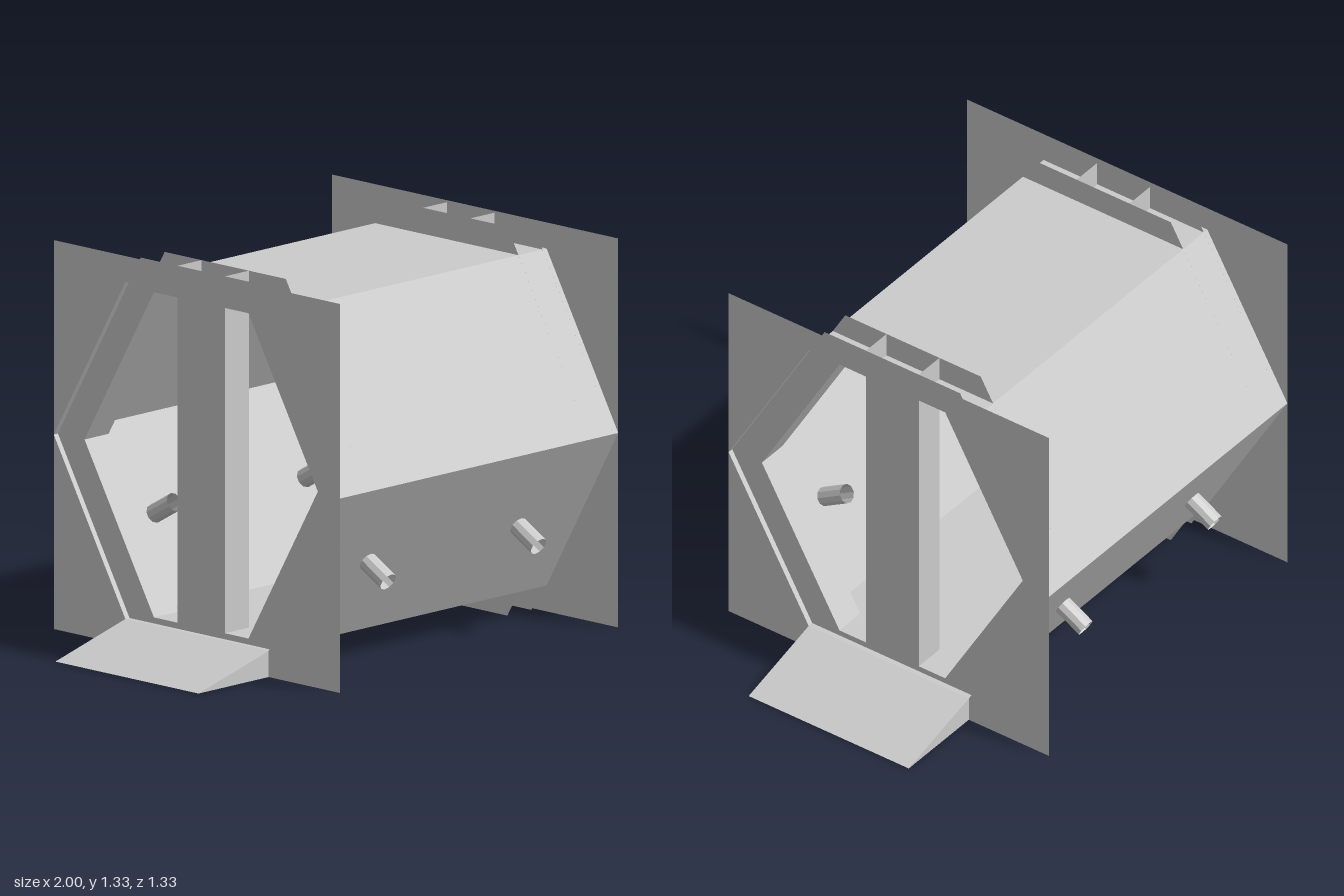
import * as THREE from 'three';

const R = 0.6667, H = R * Math.sin(Math.PI / 3); // hexagon radius and apothem
const END = 0.665;                               // half length of the shell

const material = new THREE.MeshStandardMaterial({
  color: 0xcccccc, flatShading: true, side: THREE.DoubleSide,
});

function add(parent, name, geometry) {
  const mesh = new THREE.Mesh(geometry, material);
  mesh.name = name;
  parent.add(mesh);
  return mesh;
}

// Flat sheet across the x axis; outline and holes are given as [z, y]
function sheet(outline, holes, x) {
  const points = (list) => list.map(([z, y]) => new THREE.Vector2(z, y));
  const shape = new THREE.Shape(points(outline));
  holes.forEach((hole) => shape.holes.push(new THREE.Path(points(hole))));
  return new THREE.ShapeGeometry(shape).rotateY(-Math.PI / 2).translate(x, 0, 0);
}

// Walls following a [z, y] path between two x positions
function band(path, x0, x1) {
  const positions = [];
  for (let i = 0; i + 1 < path.length; i++) {
    const [az, ay] = path[i], [bz, by] = path[i + 1];
    positions.push(x0, ay, az, x1, ay, az, x1, by, bz);
    positions.push(x0, ay, az, x1, by, bz, x0, by, bz);
  }
  const geometry = new THREE.BufferGeometry();
  geometry.setAttribute('position', new THREE.Float32BufferAttribute(positions, 3));
  geometry.computeVertexNormals();
  return geometry;
}

const hexagon = [
  [R, R], [R / 2, R + H], [-R / 2, R + H], [-R, R], [-R / 2, R - H], [R / 2, R - H],
];
const square = [[-R, 0], [R, 0], [R, 2 * R], [-R, 2 * R]];

// Inner frame: the hexagon stretched to full height, with two windows beside a post
const TOP = 0.282, POST = 0.11, IN = 0.53, OUT = 0.645;
const frameOutline = [
  [R, R], [TOP, 2 * R], [-TOP, 2 * R], [-R, R], [-TOP, 0], [TOP, 0],
];
const windowShape = (s) => [
  [s * POST, 1.225], [s * 0.22, 1.225], [s * 0.543, R], [s * 0.22, 0.11], [s * POST, 0.11],
];

// One end of the model, built on the +x side
function createEnd() {
  const end = new THREE.Group();
  add(end, 'endPlate', sheet(square, [hexagon], END));

  const frame = new THREE.Group();
  frame.name = 'innerFrame';
  end.add(frame);
  const windows = [windowShape(1), windowShape(-1)];
  for (const x of [IN, OUT]) add(frame, 'frameSheet', sheet(frameOutline, windows, x));
  for (const s of [1, -1]) {
    add(frame, 'windowWall', band(windowShape(s), IN, OUT));
    add(frame, 'postWall', band([[s * POST, 0], [s * POST, 2 * R]], IN, OUT));
  }

  // Entry ramp
  const profile = new THREE.Shape([
    new THREE.Vector2(END, 0), new THREE.Vector2(1, 0), new THREE.Vector2(END, R - H),
  ]);
  const ramp = new THREE.ExtrudeGeometry(profile, { depth: R, bevelEnabled: false });
  add(end, 'ramp', ramp.translate(0, 0, -R / 2));
  return end;
}

export function createModel() {
  const model = new THREE.Group();
  model.name = 'hexagonalTunnel';

  // Open hexagonal shell lying along x
  const shell = new THREE.CylinderGeometry(R, R, 2 * END, 6, 1, true);
  add(model, 'shell', shell.rotateZ(Math.PI / 2).translate(0, R, 0));

  // Matching ends
  for (const side of [0, 1]) {
    const end = createEnd();
    end.name = side ? 'rightEnd' : 'leftEnd';
    end.rotation.y = side * Math.PI;
    model.add(end);
  }

  // Open pipes through the lower slanted panels, square to each panel
  for (const sz of [1, -1]) {
    for (const sx of [1, -1]) {
      const pipe = new THREE.CylinderGeometry(0.033, 0.033, 0.22, 10, 1, true);
      const mesh = add(model, 'pipe', pipe);
      mesh.rotation.x = sz * (Math.PI / 2 + Math.PI / 6);
      mesh.position.set(sx * 0.36, 0.372, sz * 0.497);
    }
  }
  return model;
}
